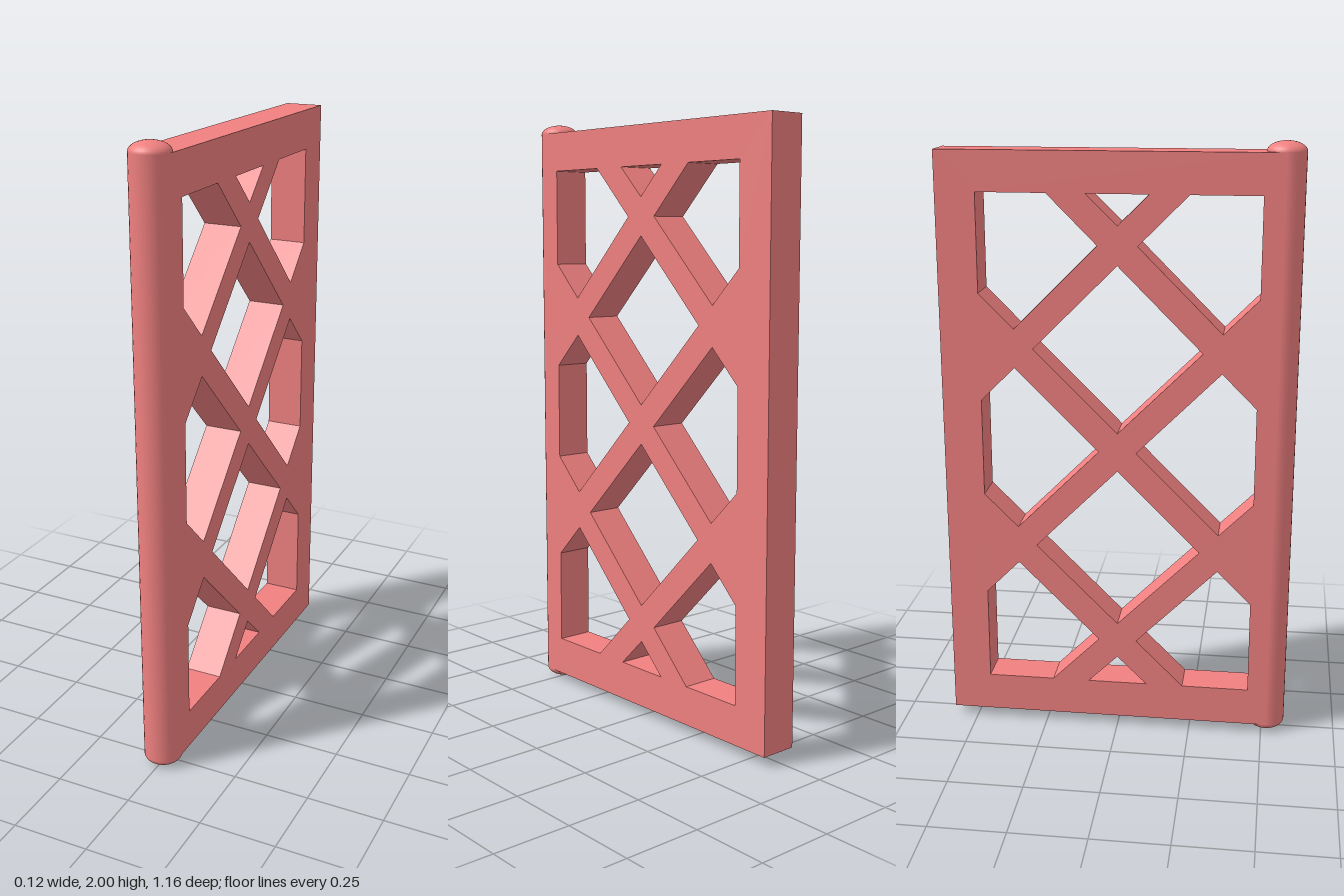
import * as THREE from 'three';

const R = 0.0625;        // post radius, also half the panel thickness
const POST_Z = 0.515;    // hinge axis
const BACK_Z = -0.58;
const MID_Y = 1;
const HALF_H = 0.968;    // half height of the panel

// Closed outline from [z, height above the middle] pairs, optionally mirrored
function outline(points, mz = 1, my = 1, Type = THREE.Path) {
  return new Type(points.map(([z, y]) => new THREE.Vector2(z * mz, MID_Y + y * my)));
}

export function createModel() {
  const group = new THREE.Group();
  const material = new THREE.MeshStandardMaterial({ color: 0xf08080 });

  // Lattice panel: a slab with the openings between the crossing bars cut out
  const panel = outline(
    [[BACK_Z, -HALF_H], [POST_Z, -HALF_H], [POST_Z, HALF_H], [BACK_Z, HALF_H]],
    1, 1, THREE.Shape);
  const diamond = [[0, 0.065], [0.275, 0.34], [0, 0.615], [-0.275, 0.34]];
  const triangle = [[-0.1, 0.838], [0, 0.74], [0.1, 0.838]];
  const corner = [[0.45, 0.838], [0.45, 0.518], [0.337, 0.404], [0.064, 0.677], [0.225, 0.838]];
  const side = [[0.45, 0.163], [0.45, -0.163], [0.337, -0.276], [0.062, 0], [0.337, 0.276]];
  for (const my of [1, -1]) {
    panel.holes.push(outline(diamond, 1, my), outline(triangle, 1, my));
    for (const mz of [1, -1]) panel.holes.push(outline(corner, mz, my));
    panel.holes.push(outline(side, my));
  }
  const panelGeometry = new THREE.ExtrudeGeometry(panel, { depth: 2 * R, bevelEnabled: false });
  panelGeometry.translate(0, 0, -R).rotateY(-Math.PI / 2);
  const lattice = new THREE.Mesh(panelGeometry, material);
  lattice.name = 'latticePanel';
  group.add(lattice);

  // Hinge post
  const post = new THREE.Mesh(
    new THREE.CylinderGeometry(R, R, 2 * HALF_H, 32, 1, true), material);
  post.name = 'hingePost';
  post.position.set(0, MID_Y, POST_Z);
  group.add(post);

  // Flattened domes closing both ends of the post
  for (const s of [1, -1]) {
    const geometry = new THREE.SphereGeometry(R, 32, 10, 0, Math.PI * 2, 0, Math.PI / 2);
    geometry.scale(1, (1 - HALF_H) / R, 1);
    if (s < 0) geometry.rotateX(Math.PI);
    const cap = new THREE.Mesh(geometry, material);
    cap.name = s > 0 ? 'topCap' : 'bottomCap';
    cap.position.set(0, MID_Y + s * HALF_H, POST_Z);
    group.add(cap);
  }
  return group;
}
